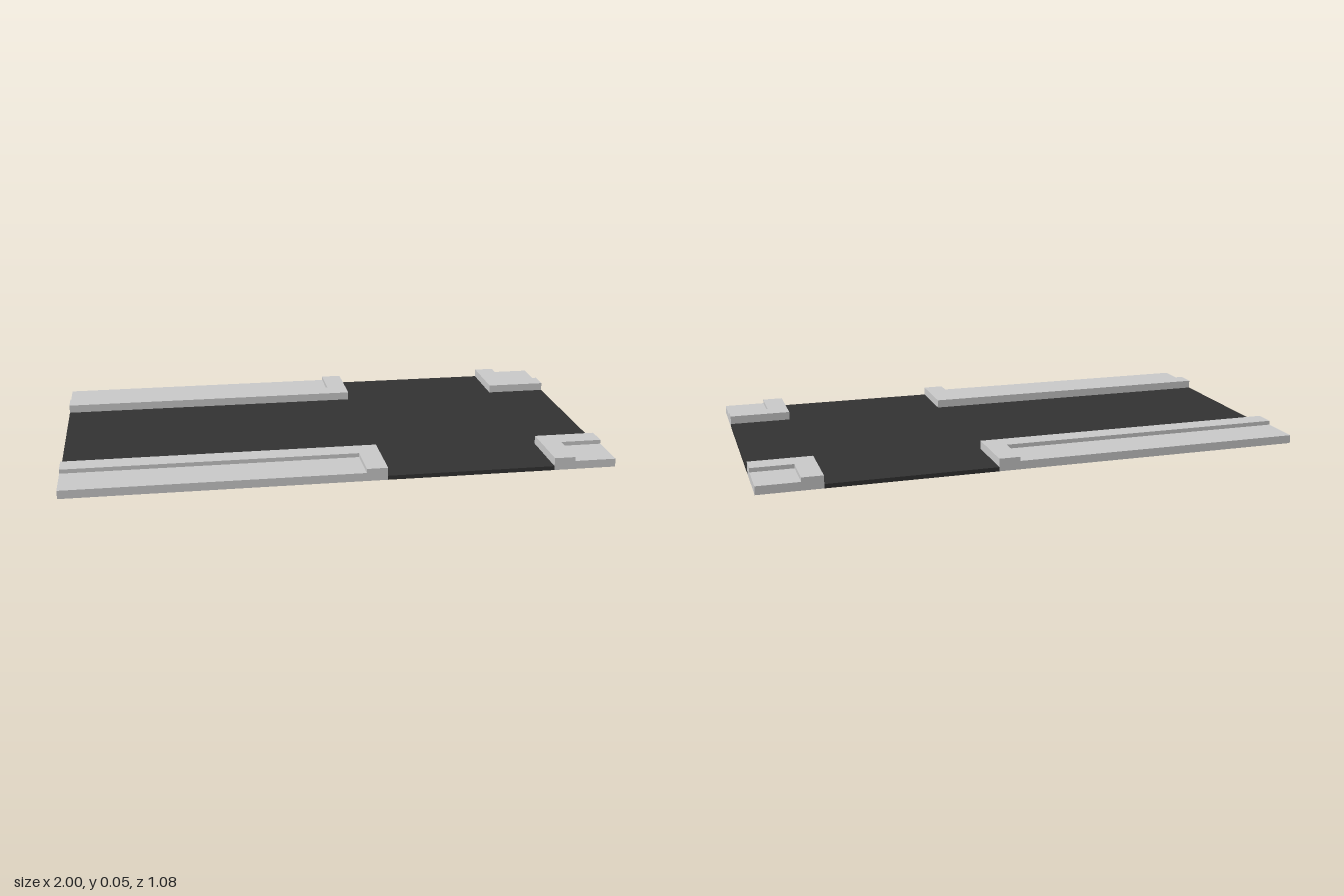
import * as THREE from 'three';

// Grid unit: the tile is 26 x 14 units
const U = 1 / 13;

// Flat outline of [x, z] points, raised from the ground to a height (all in grid units)
function slab(name, points, height, material) {
  const shape = new THREE.Shape(points.map(([x, z]) => new THREE.Vector2(x * U, -z * U)));
  const geometry = new THREE.ExtrudeGeometry(shape, { depth: height * U, bevelEnabled: false });
  geometry.rotateX(-Math.PI / 2);
  const mesh = new THREE.Mesh(geometry, material);
  mesh.name = name;
  return mesh;
}

// Corner block: L-shaped raised kerb along the road, lower paving behind it
function pavement(name, xEnd, xRoad, side, material) {
  const group = new THREE.Group();
  group.name = name;
  const xIn = xRoad + Math.sign(xEnd - xRoad); // kerb is one unit wide
  const [road, inner, edge] = [4 * side, 5 * side, 7 * side];
  group.add(
    slab('kerb', [[xEnd, road], [xRoad, road], [xRoad, edge], [xIn, edge], [xIn, inner], [xEnd, inner]], 0.6, material),
    slab('paving', [[xEnd, inner], [xIn, inner], [xIn, edge], [xEnd, edge]], 0.4, material)
  );
  return group;
}

export function createModel() {
  const model = new THREE.Group();
  model.name = 'roadCrossing';
  const stone = new THREE.MeshStandardMaterial({ color: 0xcccccc, flatShading: true });
  const asphalt = new THREE.MeshStandardMaterial({ color: 0x333333, flatShading: true });

  // Cross-shaped road surface
  model.add(slab('road', [
    [-13, -4], [2, -4], [2, -7], [10, -7], [10, -4], [13, -4],
    [13, 4], [10, 4], [10, 7], [2, 7], [2, 4], [-13, 4]
  ], 0.2, asphalt));

  // Long and short pavements, mirrored front to back
  for (const side of [1, -1]) {
    const end = side > 0 ? 'Front' : 'Back';
    model.add(pavement('longPavement' + end, -13, 2, side, stone));
    model.add(pavement('cornerPavement' + end, 13, 10, side, stone));
  }
  return model;
}
